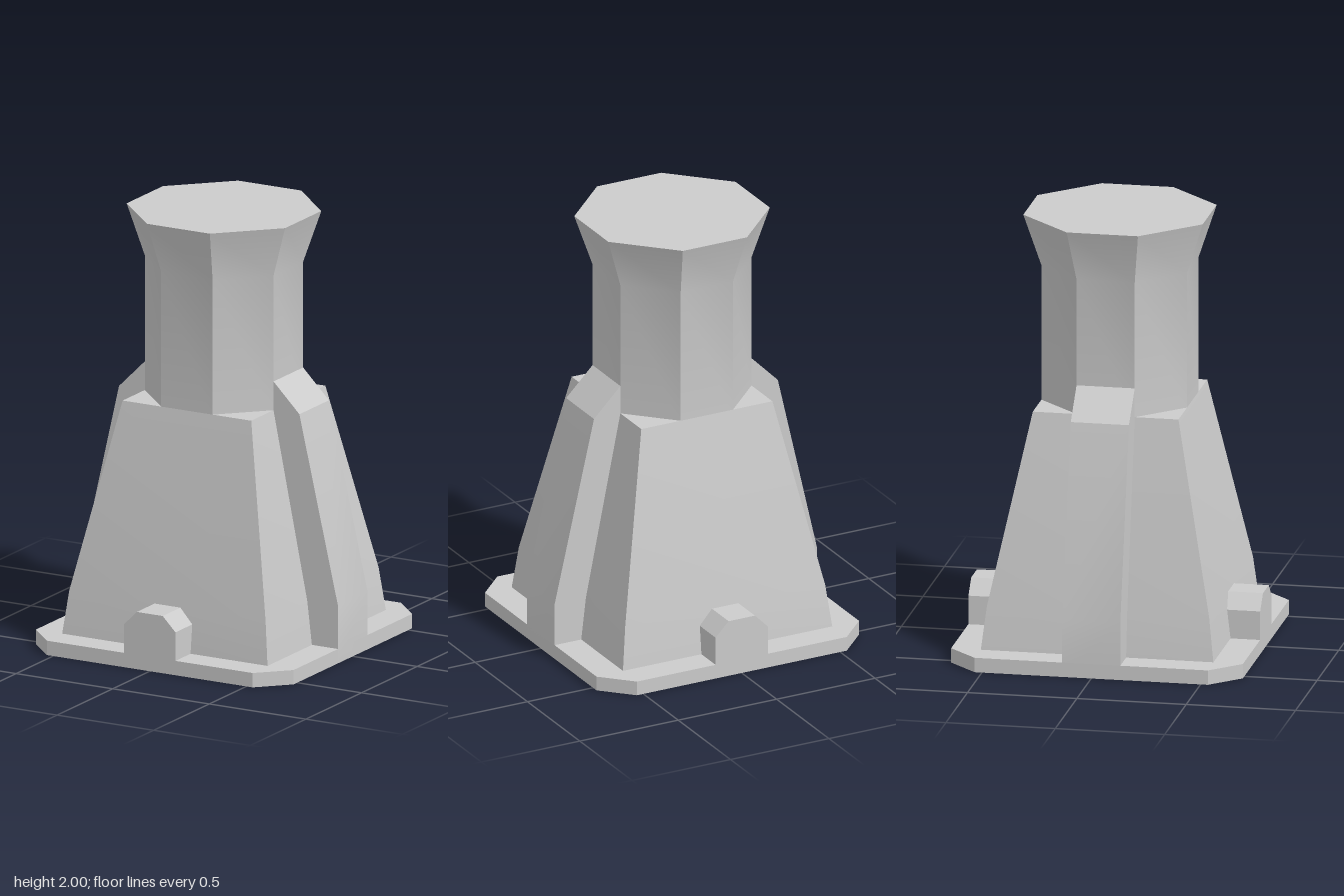
import * as THREE from 'three';
import { toCreasedNormals } from 'three/addons/utils/BufferGeometryUtils.js';

const material = new THREE.MeshStandardMaterial({ color: 0xcccccc });

function part(name, geometry) {
  const mesh = new THREE.Mesh(toCreasedNormals(geometry, 0.5), material);
  mesh.name = name;
  return mesh;
}

// Outline of a square of half-width a; c is where the corner cut begins (c = a: no cut)
function outline(a, c) {
  const quarter = c < a ? [[a, -c], [a, c]] : [[a, a]];
  const points = [];
  for (let k = 0; k < 4; k++) {
    for (const [x, z] of quarter) {
      points.push([[x, z], [-z, x], [-x, -z], [z, -x]][k]);
    }
  }
  return points;
}

// Closed solid through stacked sections [y, halfWidth, cornerStart]
function loft(sections) {
  const rings = sections.map(([y, a, c]) => outline(a, c).map(([x, z]) => [x, y, z]));
  const n = rings[0].length;
  const positions = [];
  const tri = (...corners) => corners.forEach((p) => positions.push(...p));
  for (let r = 0; r < rings.length - 1; r++) {
    for (let i = 0; i < n; i++) {
      const j = (i + 1) % n;
      const low = rings[r], high = rings[r + 1];
      tri(low[i], high[i], high[j]);
      tri(low[i], high[j], low[j]);
    }
  }
  const bottom = rings[0], top = rings[rings.length - 1];
  for (let i = 1; i < n - 1; i++) {
    tri(bottom[0], bottom[i], bottom[i + 1]);
    tri(top[0], top[i + 1], top[i]);
  }
  const geometry = new THREE.BufferGeometry();
  geometry.setAttribute('position', new THREE.Float32BufferAttribute(positions, 3));
  return geometry;
}

function extrude(points, depth) {
  const shape = new THREE.Shape(points.map(([x, y]) => new THREE.Vector2(x, y)));
  return new THREE.ExtrudeGeometry(shape, { depth, bevelEnabled: false });
}

export function createModel() {
  const model = new THREE.Group();
  model.name = 'pedestal';

  // Base plate with cut corners
  model.add(part('basePlate', loft([[0, 0.667, 0.533], [0.067, 0.667, 0.533]])));

  // Tapered square body
  model.add(part('body', loft([[0.03, 0.536, 0.536], [0.267, 0.508, 0.508], [1.133, 0.333, 0.333]])));

  // Octagonal column flaring at the top
  model.add(part('column', loft([[1.1, 0.333, 0.133], [1.76, 0.333, 0.133], [2, 0.41, 0.163]])));

  // Buttress on each side, arch block at front and back
  const buttress = extrude([
    [0.25, 0], [0.667, 0], [0.667, 0.267], [0.467, 1.133], [0.333, 1.267], [0.25, 1.267],
  ], 0.266).translate(0, 0, -0.133);
  const block = extrude([
    [-0.133, 0], [0.133, 0], [0.133, 0.2], [0.067, 0.267], [-0.067, 0.267], [-0.133, 0.2],
  ], 0.267).translate(0, 0, 0.4);
  [['left', 'front', 0], ['right', 'back', Math.PI]].forEach(([side, end, turn]) => {
    const rib = part(side + 'Buttress', buttress);
    const bump = part(end + 'Block', block);
    rib.rotation.y = bump.rotation.y = turn;
    model.add(rib, bump);
  });

  return model;
}
